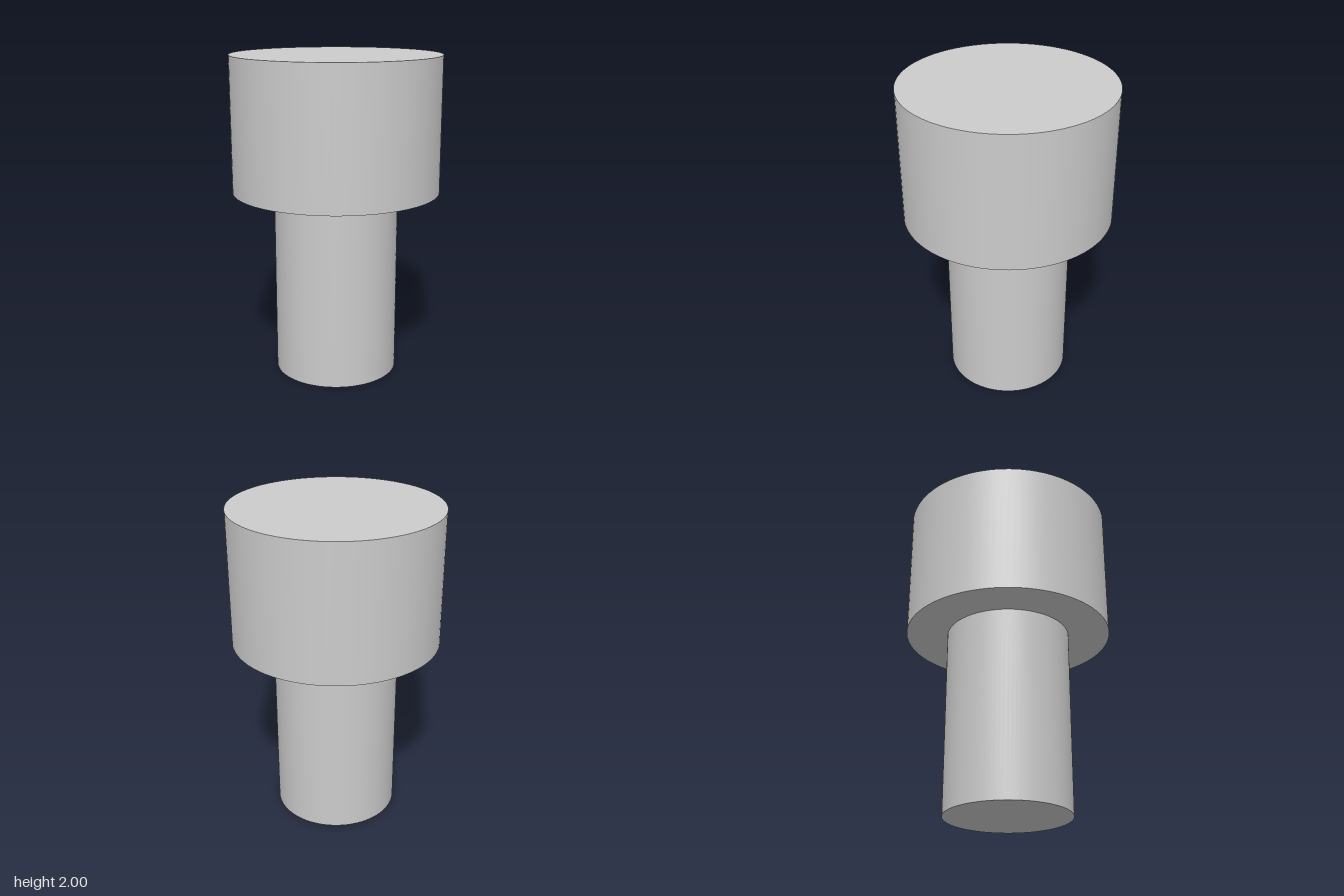
import * as THREE from 'three';

const SEGMENTS = 96;

export function createModel() {
  const group = new THREE.Group();
  group.name = 'steppedPin';
  const material = new THREE.MeshStandardMaterial({ color: 0xcccccc });

  // Upright solid cylinder between two heights
  function addCylinder(name, radius, bottom, top) {
    const geometry = new THREE.CylinderGeometry(radius, radius, top - bottom, SEGMENTS);
    const mesh = new THREE.Mesh(geometry, material);
    mesh.name = name;
    mesh.position.y = (bottom + top) / 2;
    group.add(mesh);
  }

  addCylinder('shaft', 0.385, 0, 1.165); // narrow lower part
  addCylinder('head', 0.643, 1.165, 2); // wide upper part

  return group;
}
